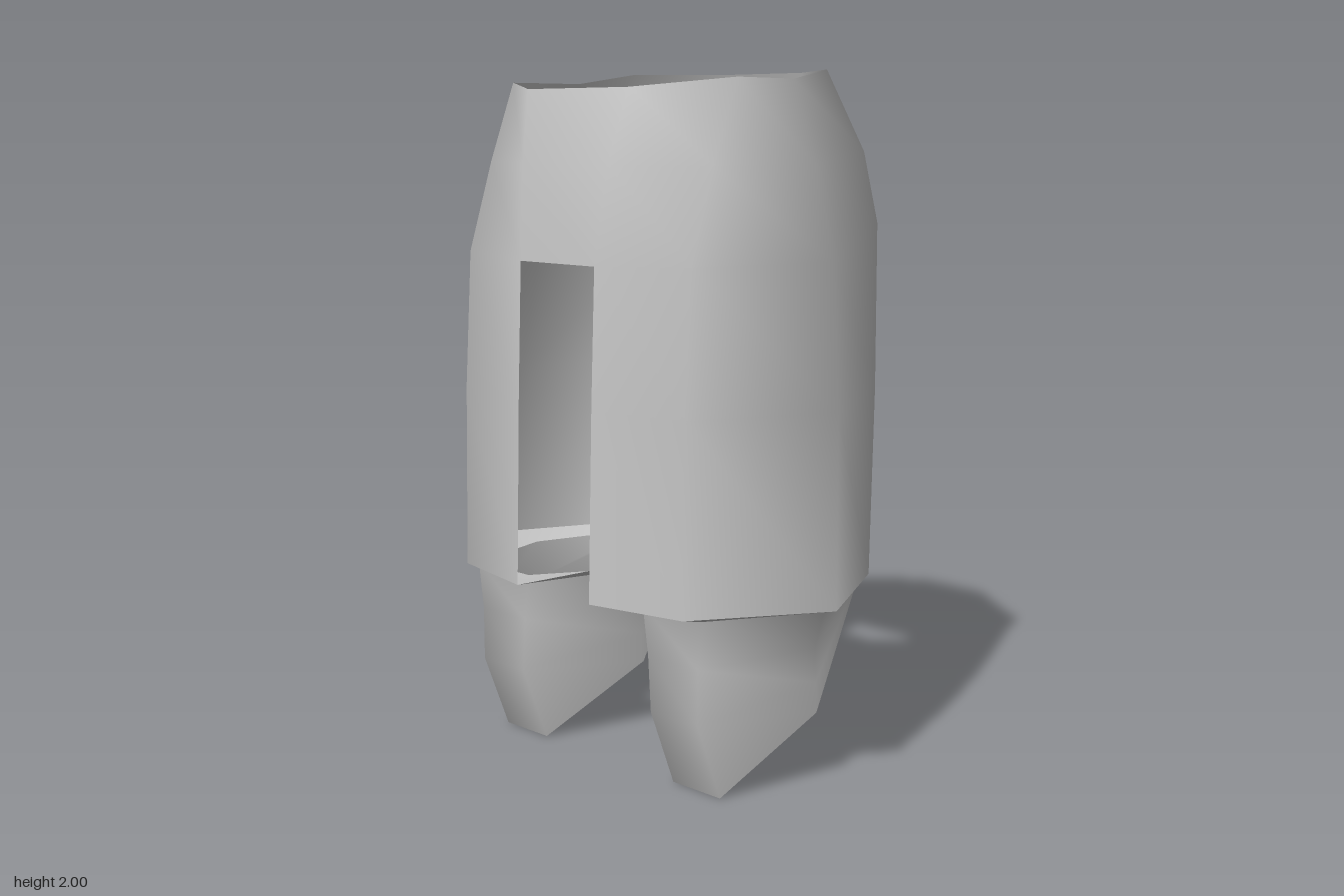
import * as THREE from 'three';

// Joins closed rings (top to bottom, anticlockwise from above) into a smooth shell.
function loft(rings, skip = () => false) {
  const n = rings[0].length;
  const index = [];
  for (let r = 0; r < rings.length - 1; r++) {
    for (let c = 0; c < n; c++) {
      if (skip(r, c)) continue;
      const a = r * n + c, b = r * n + (c + 1) % n;
      index.push(a, a + n, b + n, a, b + n, b);
    }
  }
  const geo = new THREE.BufferGeometry();
  geo.setAttribute('position', new THREE.Float32BufferAttribute(rings.flat(2), 3));
  geo.setIndex(index);
  geo.computeVertexNormals();
  return geo;
}

const mirror = (ring) => ring.map(([x, y, z]) => [-x, y, z]).reverse();

export function createModel() {
  const group = new THREE.Group();
  const grey = new THREE.MeshStandardMaterial({ color: 0xc6c6c6, side: THREE.DoubleSide });
  grey.name = 'grey';
  const add = (name, geo) => {
    const mesh = new THREE.Mesh(geo, grey);
    mesh.name = name;
    group.add(mesh);
  };

  // Half rings of the skirt: front slit, front corner, side, back corner, back slit
  const halves = [
    [[.2, 1.945, .41], [.45, 1.97, .25], [.43, 1.97, 0], [.39, 2, -.19], [.14, 2, -.375]],
    [[.17, 1.74, .46], [.45, 1.74, .34], [.52, 1.74, .01], [.41, 1.77, -.34], [.1, 1.77, -.45]],
    [[.15, 1.47, .49], [.45, 1.48, .425], [.595, 1.48, .02], [.39, 1.56, -.435], [.09, 1.56, -.525]],
    [[.15, 1.08, .505], [.45, 1.08, .45], [.65, 1.08, .06], [.45, 1.08, -.36], [.12, 1.08, -.43]],
    [[.15, .54, .52], [.45, .54, .46], [.685, .54, .1], [.5, .54, -.28], [.12, .54, -.37]],
  ];
  // Tall slit at the front, shorter slit at the back
  const slit = (r, c) => (c === 9 && r >= 2) || (c === 4 && r >= 3);
  add('skirt', loft(halves.map((h) => [...h, ...mirror(h)]), slit));

  // Ledge turning in from each hem to the leg opening
  const hem = [...halves[4], [.09, .54, .07]];
  const legTop = [[.24, .53, .4], [.47, .53, .4], [.6, .51, .05], [.46, .52, -.25], [.24, .52, -.25], [.115, .51, .05]];

  // Leg guard: front reaches the ground, lower edge slopes up to the back
  const leg = [
    legTop,
    [[.26, .39, .4], [.45, .39, .4], [.57, .4, .05], [.46, .505, -.25], [.24, .505, -.25], [.12, .39, .05]],
    [[.27, .23, .4], [.45, .23, .4], [.57, .3, .045], [.46, .49, -.255], [.24, .49, -.255], [.12, .3, .045]],
    [[.27, 0, .31], [.45, 0, .31], [.57, .21, .04], [.46, .48, -.26], [.24, .48, -.26], [.12, .21, .04]],
  ];
  for (const [side, place] of [['left', (r) => r], ['right', mirror]]) {
    add(side + 'HemLedge', loft([hem, legTop].map(place)));
    add(side + 'LegGuard', loft(leg.map(place)));
  }
  return group;
}
